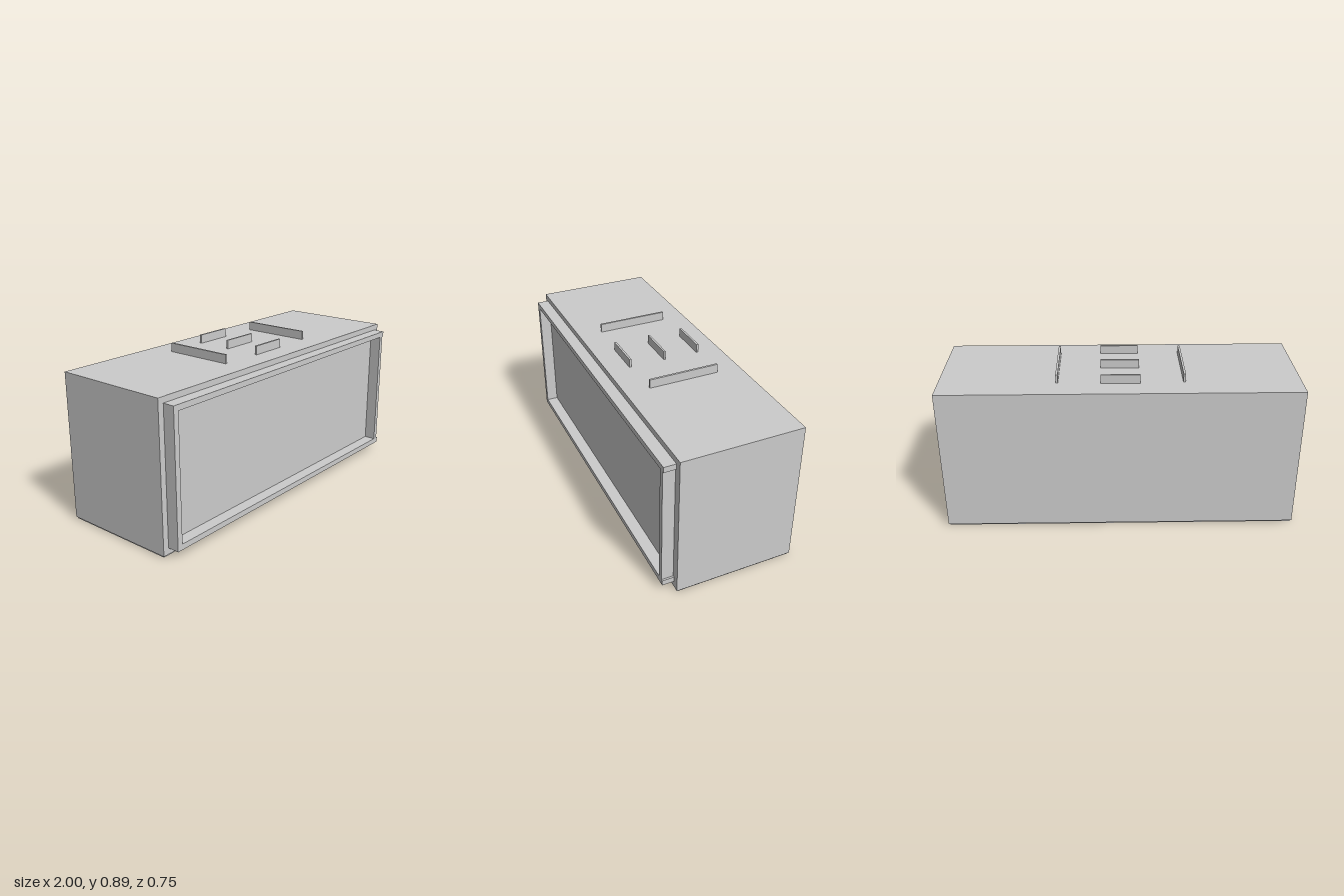
import * as THREE from 'three';

export function createModel() {
  const model = new THREE.Group();
  const material = new THREE.MeshStandardMaterial({ color: 0xcccccc, flatShading: true });

  // Adds a box given its extents along each axis.
  function addBox(name, [x0, x1], [y0, y1], [z0, z1], parent = model) {
    const mesh = new THREE.Mesh(new THREE.BoxGeometry(x1 - x0, y1 - y0, z1 - z0), material);
    mesh.position.set((x0 + x1) / 2, (y0 + y1) / 2, (z0 + z1) / 2);
    mesh.name = name;
    parent.add(mesh);
  }

  // Main case on a slightly inset base plate
  addBox('body', [-1, 1], [0.01, 0.843], [-0.375, 0.308]);
  addBox('basePlate', [-0.993, 0.993], [0, 0.01], [-0.367, 0.301]);

  // Raised frame around the front panel; the left upright is set in a little
  const frame = new THREE.Group();
  frame.name = 'frontFrame';
  model.add(frame);
  const depth = [0.308, 0.375];
  addBox('frameTop', [-0.966, 0.963], [0.778, 0.81], depth, frame);
  addBox('frameBottom', [-0.966, 0.963], [0.045, 0.077], depth, frame);
  addBox('frameRight', [-0.966, -0.934], [0.077, 0.778], depth, frame);
  addBox('frameLeft', [0.924, 0.953], [0.077, 0.778], depth, frame);

  // Thin ribs standing on the top: two long side ribs, three short cross ribs
  const ribs = new THREE.Group();
  ribs.name = 'topRibs';
  model.add(ribs);
  const height = [0.843, 0.893];
  for (const x of [-0.353, 0.348]) {
    addBox('sideRib', [x - 0.006, x + 0.006], height, [-0.235, 0.169], ribs);
  }
  for (const z of [-0.239, -0.034, 0.175]) {
    addBox('crossRib', [-0.11, 0.108], height, [z - 0.006, z + 0.006], ribs);
  }

  return model;
}
